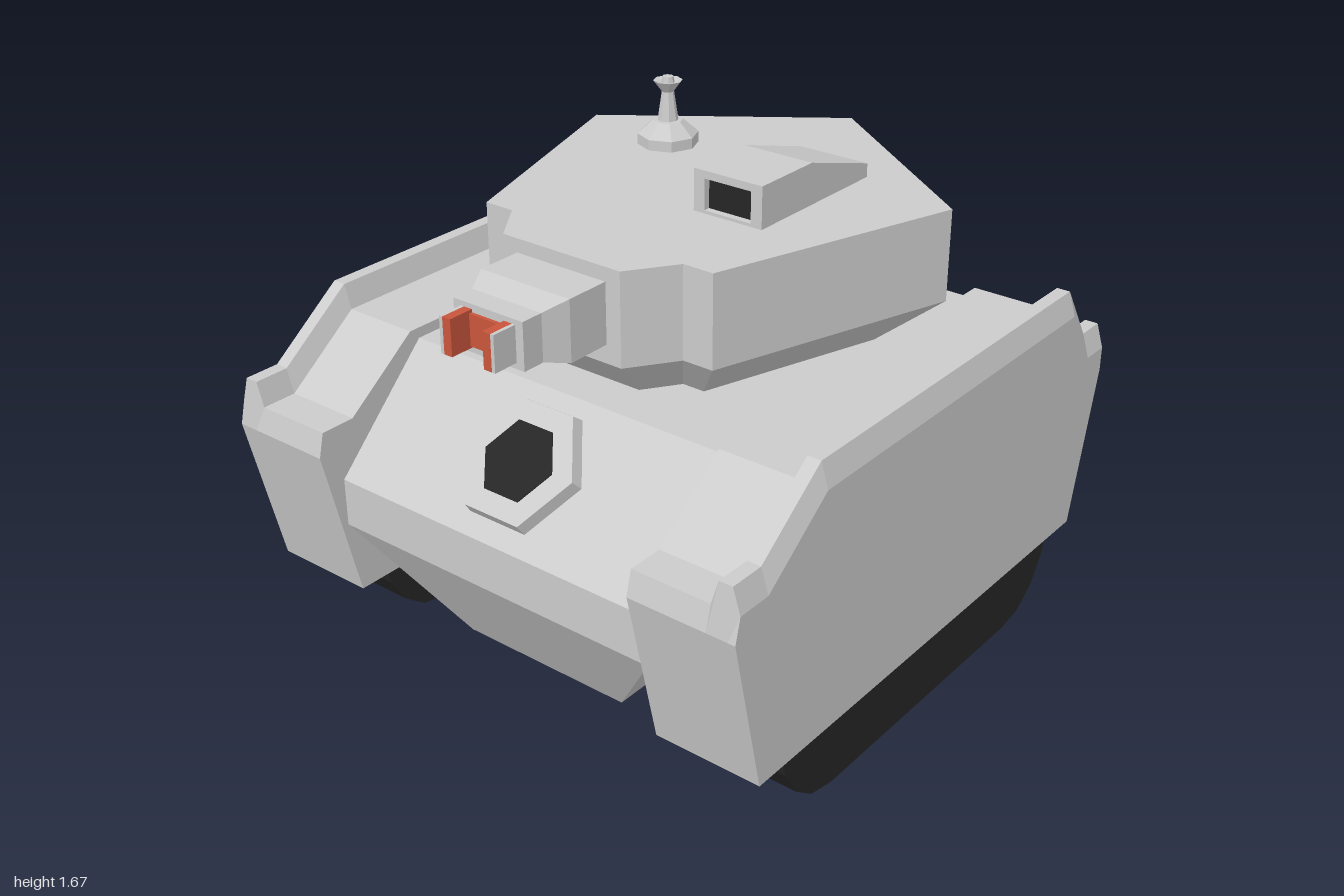
import * as THREE from 'three';
import { ConvexGeometry } from 'three/addons/geometries/ConvexGeometry.js';

const paint = (color) => new THREE.MeshStandardMaterial({ color, flatShading: true });
const grey = paint(0xcccccc);
const black = paint(0x262626);
const red = paint(0xc8553c);

// Sweeps an outline through a list of levels; place() puts each vertex by its level.
function sweep(points, levels, place) {
  const steps = levels.length - 1;
  const shape = new THREE.Shape(points.map(([a, b]) => new THREE.Vector2(a, b)));
  const geo = new THREE.ExtrudeGeometry(shape, { depth: steps, steps, bevelEnabled: false });
  const pos = geo.attributes.position;
  for (let i = 0; i < pos.count; i++) {
    pos.setXYZ(i, ...place(pos.getX(i), pos.getY(i), levels[Math.round(pos.getZ(i))]));
  }
  geo.computeVertexNormals();
  return geo;
}

// Side profile of [z, y] points swept along x; each level is [x, rise of the top edge].
const sweepAcross = (profile, levels) =>
  sweep(profile.map(([z, y]) => [-z, y]), levels,
    (a, y, [x, rise]) => [x, y > 0.8 ? y + rise : y, -a]);

// Mirrors the levels for the right-hand side, kept in ascending order.
const onSide = (levels, side) =>
  side > 0 ? levels : levels.map(([x, rise]) => [-x, rise]).reverse();

const hullPoints = (list) => new ConvexGeometry(list.flatMap(([x, y, z]) =>
  [new THREE.Vector3(x, y, z), new THREE.Vector3(-x, y, z)]));

export function createModel() {
  const model = new THREE.Group();
  const add = (name, geo, mat = grey, x = 0, y = 0, z = 0, parent = model) => {
    const mesh = new THREE.Mesh(geo, mat);
    mesh.name = name;
    mesh.position.set(x, y, z);
    parent.add(mesh);
    return mesh;
  };
  const box = (name, w, h, d, mat, x, y, z, parent) =>
    add(name, new THREE.BoxGeometry(w, h, d), mat, x, y, z, parent);

  // Hull with sloped nose and keel
  add('hull', hullPoints([
    [0.6, 1.0, 0.565], [0.6, 1.0, -0.765],
    [0.6, 0.65, 0.915], [0.6, 0.65, -0.805],
    [0.6, 0.49, 0.915], [0.6, 0.49, -0.805],
    [0.31, 0.1, 0.69], [0.31, 0.1, -0.55],
  ]));

  // Track housings with a raised, chamfered outer rim, and the tracks below
  const housing = [
    [0.88, 0.235], [1.0, 0.76], [0.98, 0.84], [0.86, 0.84], [0.6, 1.035],
    [-0.77, 1.035], [-0.9, 0.84], [-1.0, 0.84], [-1.0, 0.76], [-0.875, 0.235],
  ];
  const rim = [[0.6, 0], [0.865, 0], [0.89, 0.08], [0.935, 0.08], [0.96, 0]];
  const half = [[0.5, 0], [0.6, 0.02], [0.68, 0.08], [0.735, 0.17], [0.755, 0.25]];
  const belt = [...half, ...half.map(([z, y]) => [-z, y]).reverse()];
  for (const side of [1, -1]) {
    const label = side > 0 ? 'left' : 'right';
    add(label + 'TrackHousing', sweepAcross(housing, onSide(rim, side)));
    add(label + 'Track', sweepAcross(belt, onSide([[0.63, 0], [0.945, 0]], side)), black);
    // Wedge between housing and keel
    const wedge = [[0.62, 0.49], [0.62, 0.215], [0.38, 0.195]];
    add(label + 'AxleWedge', new ConvexGeometry([-0.35, 0.4].flatMap((z) =>
      wedge.map(([x, y]) => new THREE.Vector3(side * x, y, z)))));
  }

  // Nose plate, lying on the sloped front
  const plate = new THREE.Group();
  plate.name = 'nosePlate';
  plate.position.set(0, 0.83, 0.735);
  plate.rotation.x = Math.PI / 4;
  model.add(plate);
  const hexagon = (top, bottom, h) =>
    new THREE.CylinderGeometry(top, bottom, h, 6).rotateY(Math.PI / 6);
  add('hexPlate', hexagon(0.205, 0.215, 0.05), grey, 0, 0.018, 0, plate);
  add('hexInset', hexagon(0.13, 0.13, 0.02), black, 0, 0.036, 0, plate);

  // Turret: faceted wall above a tapered skirt
  const turret = new THREE.Group();
  turret.name = 'turret';
  model.add(turret);
  const edge = [[0.7, -0.41], [0.43, 0.41], [0.325, 0.41], [0.22, 0.56]];
  const outline = [[0, -0.92], ...edge, ...edge.map(([x, z]) => [-x, z]).reverse()];
  add('turretBody', sweep(outline.map(([x, z]) => [x, -z]),
    [[0.99, 0.72], [1.145, 1], [1.445, 1]],
    (x, b, [y, s]) => [x * s, y, -b * s]), grey, 0, 0, 0, turret);

  // Gun mount narrowing to the muzzle; levels are [z, half width, bottom, top]
  add('gunMount', sweep([[-1, 0], [1, 0], [1, 1], [-1, 1]], [
    [0.4, 0.167, 1.205, 1.4], [0.71, 0.167, 1.205, 1.4],
    [0.785, 0.13, 1.225, 1.375], [0.86, 0.13, 1.225, 1.375],
  ], (a, b, [z, w, low, high]) => [a * w, b > 0.5 ? high : low, z]), grey, 0, 0, 0, turret);
  box('muzzleCore', 0.15, 0.1, 0.02, red, 0, 1.3, 0.862, turret);
  for (const side of [1, -1]) {
    box('muzzleProng', 0.012, 0.115, 0.09, grey, side * 0.096, 1.302, 0.9, turret);
    box('muzzleLining', 0.03, 0.115, 0.09, red, side * 0.075, 1.302, 0.9, turret);
  }

  // Sight box with a recessed dark window
  add('sightBox', sweepAcross([
    [0.045, 1.43], [0.045, 1.58], [-0.175, 1.58], [-0.48, 1.49], [-0.48, 1.43],
  ], [[0.1, 0], [0.35, 0]]), grey, 0, 0, 0, turret);
  const rect = (Type, w, h) => new Type([[-w, -h], [w, -h], [w, h], [-w, h]]
    .map(([x, y]) => new THREE.Vector2(x, y)));
  const frame = rect(THREE.Shape, 0.125, 0.075);
  frame.holes.push(rect(THREE.Path, 0.085, 0.05));
  add('sightFrame', new THREE.ExtrudeGeometry(frame, { depth: 0.03, bevelEnabled: false }),
    grey, 0.225, 1.505, 0.045, turret);
  box('sightWindow', 0.17, 0.1, 0.01, black, 0.225, 1.505, 0.047, turret);

  // Antenna on an eight-sided foot
  const mast = [
    [0.1, 1.44], [0.1, 1.48], [0.05, 1.525], [0.034, 1.525], [0.02, 1.62],
    [0.048, 1.657], [0.022, 1.65], [0.018, 1.67], [0, 1.67],
  ].map(([r, y]) => new THREE.Vector2(r, y));
  add('antenna', new THREE.LatheGeometry(mast, 8), grey, -0.335, 0, -0.345, turret);

  return model;
}
